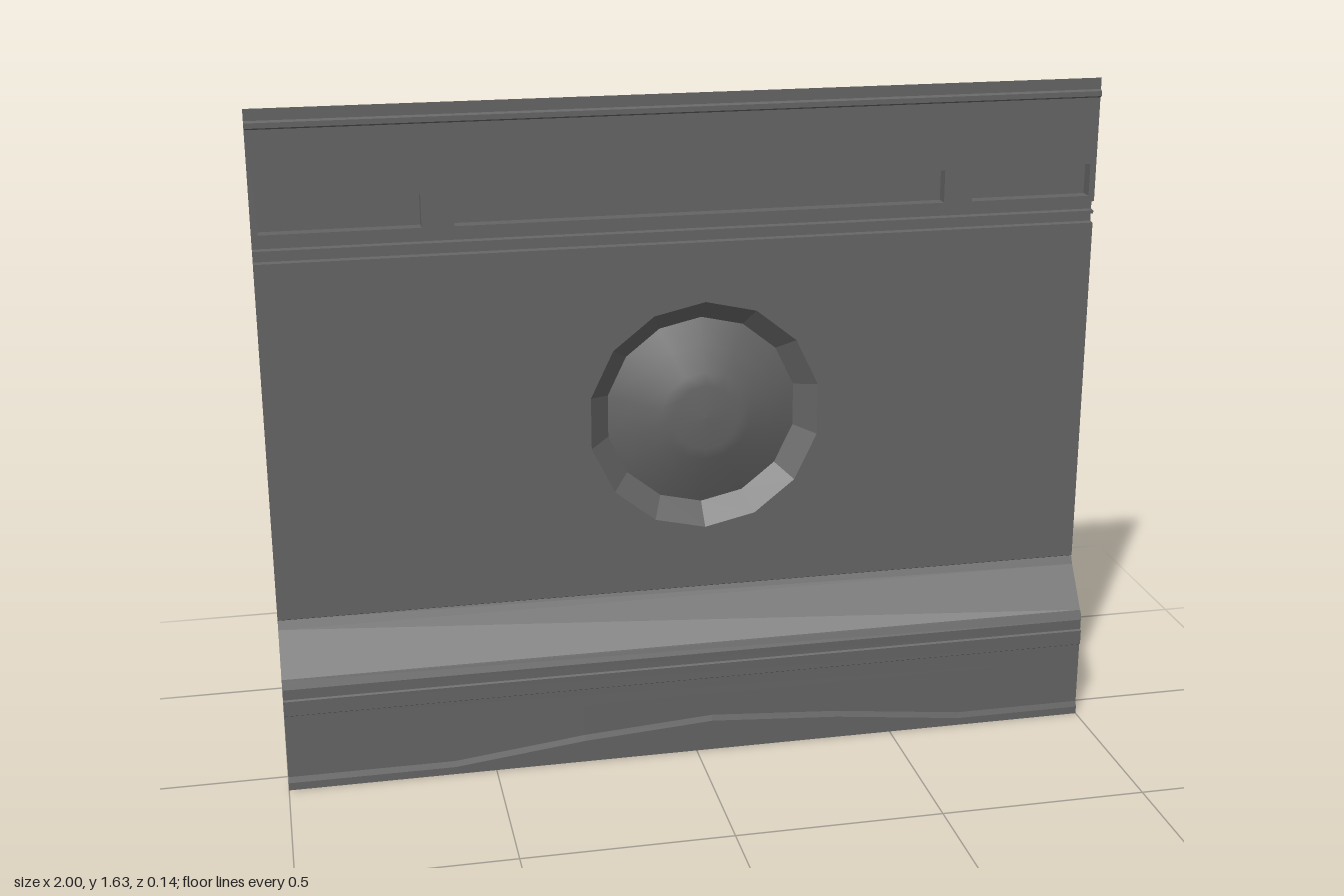
import * as THREE from 'three';

const BACK = -0.02, FRONT = 0.066, STEP = 0.071;
const CX = 0.04, CY = 0.845, SIDES = 14;

export function createModel() {
  const group = new THREE.Group();
  group.name = 'pressedPanel';
  const flat = new THREE.MeshStandardMaterial({ color: 0x656465, side: THREE.DoubleSide, flatShading: true });
  const smooth = new THREE.MeshStandardMaterial({ color: 0x656465, side: THREE.DoubleSide });

  const add = (name, geometry, material = flat) => {
    const mesh = new THREE.Mesh(geometry, material);
    mesh.name = name;
    group.add(mesh);
    return mesh;
  };

  // Strip of faces between two matching rows of points
  const strip = (name, a, b) => {
    const p = [];
    for (let i = 0; i < a.length - 1; i++) {
      p.push(...a[i], ...b[i], ...b[i + 1], ...a[i], ...b[i + 1], ...a[i + 1]);
    }
    const g = new THREE.BufferGeometry();
    g.setAttribute('position', new THREE.Float32BufferAttribute(p, 3));
    g.computeVertexNormals();
    return add(name, g);
  };
  // Full-width folded sheet from a [y, z] profile
  const fold = (name, profile) =>
    strip(name, profile.map(([y, z]) => [-1, y, z]), profile.map(([y, z]) => [1, y, z]));

  const rect = (x0, x1, y0, y1) =>
    [[x0, y0], [x1, y0], [x1, y1], [x0, y1]].map(([x, y]) => new THREE.Vector2(x, y));

  // Main wall with openings for the slots and the round dish
  const slots = [[-0.985, -0.62], [-0.545, 0.62], [0.69, 0.985]];
  const wall = new THREE.Shape(rect(-1, 1, 0.405, 1.275));
  const circle = [];
  for (let i = 0; i < SIDES; i++) {
    const t = (i / SIDES) * Math.PI * 2;
    circle.push(new THREE.Vector2(CX + 0.285 * Math.sin(t), CY - 0.285 * Math.cos(t)));
  }
  wall.holes.push(new THREE.Path(circle));
  add('mainWall', new THREE.ShapeGeometry(wall)).position.z = BACK;

  const band = new THREE.Shape(rect(-1, 1, 1.328, 1.58));
  slots.forEach(([x0, x1]) => band.holes.push(new THREE.Path(rect(x0, x1, 1.342, 1.42))));
  add('slotBand', new THREE.ShapeGeometry(band)).position.z = BACK;

  // Recessed slots: four walls and a floor each
  slots.forEach(([x0, x1]) => {
    const c = rect(x0, x1, 1.342, 1.42);
    const loop = [...c, c[0]];
    strip('slotWalls', loop.map(v => [v.x, v.y, BACK]), loop.map(v => [v.x, v.y, -0.052]));
    add('slotFloor', new THREE.ShapeGeometry(new THREE.Shape(c))).position.z = -0.052;
  });

  // Top lip with a small raised bead
  fold('topLip', [[1.627, BACK], [1.6, BACK], [1.596, -0.013], [1.584, -0.013], [1.58, BACK]]);

  // Pair of narrow grooves
  fold('upperGrooves', [
    [1.328, BACK], [1.326, -0.035], [1.307, -0.035], [1.305, BACK],
    [1.298, BACK], [1.296, -0.035], [1.277, -0.035], [1.275, BACK],
  ]);

  // Sloping shoulder and the ribbed skirt below it
  fold('shoulder', [
    [0.405, BACK], [0.403, -0.023], [0.383, -0.013], [0.285, 0.057],
    [0.283, 0.061], [0.263, 0.069], [0.262, FRONT],
  ]);
  fold('skirtRib', [
    [0.262, FRONT], [0.236, FRONT], [0.233, STEP], [0.196, STEP], [0.193, FRONT], [0.15, FRONT],
  ]);

  // Lower skirt with an arched step
  const arch = [[-1, 0.033], [-0.6, 0.033], [-0.28, 0.07], [0.04, 0.092], [0.36, 0.07], [0.68, 0.033], [1, 0.033]];
  const upper = arch.map(([x, y]) => [x, y, FRONT]);
  const lower = arch.map(([x, y]) => [x, y - 0.014, STEP]);
  strip('lowerSkirt', arch.map(([x]) => [x, 0.15, FRONT]), upper);
  strip('archBevel', upper, lower);
  strip('bottomEdge', lower, arch.map(([x]) => [x, 0, STEP]));

  // Round dish: faceted rim, smooth raised centre
  const lathe = (name, pts, material) => {
    const g = new THREE.LatheGeometry(pts.map(([r, z]) => new THREE.Vector2(r, z)), SIDES);
    g.rotateX(Math.PI / 2);
    add(name, g, material).position.set(CX, CY, 0);
  };
  lathe('dishRim', [[0.285, BACK], [0.235, -0.07]], flat);
  lathe('dishCentre', [[0.235, -0.07], [0.17, -0.042], [0.11, -0.02], [0.08, -0.01], [0, -0.007]], smooth);

  return group;
}
